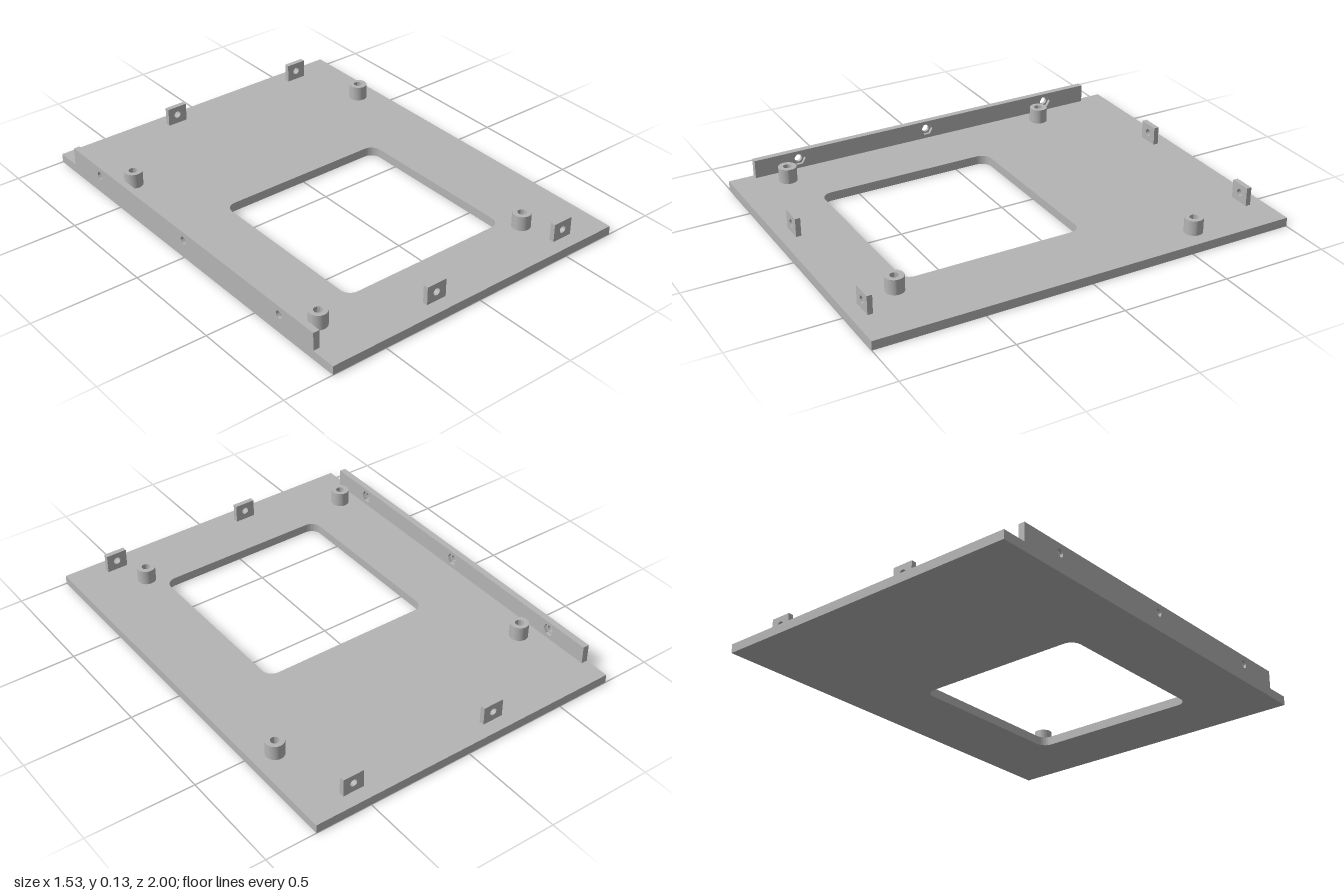
import * as THREE from 'three';
import { toCreasedNormals } from 'three/addons/utils/BufferGeometryUtils.js';

const PLATE = 0.042; // plate thickness
const TOP = 0.128; // top of tabs and rail
const HOLE_Y = 0.086; // height of the screw holes

function rect(x0, x1, y0, y1) {
  return new THREE.Shape([[x0, y0], [x1, y0], [x1, y1], [x0, y1]].map(p => new THREE.Vector2(...p)));
}

function circle(x, y, r) {
  return new THREE.Path().absarc(x, y, r, 0, Math.PI * 2, true);
}

function hexagon(x, y, r) {
  const pts = [];
  for (let i = 0; i < 6; i++) {
    const a = -i * Math.PI / 3;
    pts.push(new THREE.Vector2(x + r * Math.cos(a), y + r * Math.sin(a)));
  }
  return new THREE.Path(pts);
}

function roundedHole(x0, x1, y0, y1, r) {
  const p = new THREE.Path();
  p.absarc(x1 - r, y1 - r, r, 0, Math.PI / 2, false);
  p.absarc(x0 + r, y1 - r, r, Math.PI / 2, Math.PI, false);
  p.absarc(x0 + r, y0 + r, r, Math.PI, Math.PI * 1.5, false);
  p.absarc(x1 - r, y0 + r, r, Math.PI * 1.5, Math.PI * 2, false);
  p.closePath();
  return p;
}

// Extrude a shape with holes, smooth on curves and sharp at edges
function extrude(shape, holes, depth) {
  shape.holes.push(...holes);
  const g = new THREE.ExtrudeGeometry(shape, { depth, bevelEnabled: false, curveSegments: 16 });
  return toCreasedNormals(g, 0.6);
}

export function createModel() {
  const model = new THREE.Group();
  model.name = 'mountingPlate';
  const grey = new THREE.MeshStandardMaterial({ color: 0xb4b4b4 });
  grey.name = 'grey';

  function add(name, geometry, x, y, z) {
    const mesh = new THREE.Mesh(geometry, grey);
    mesh.name = name;
    mesh.position.set(x, y, z);
    model.add(mesh);
  }

  // Base plate with a rounded window
  const plate = extrude(rect(-0.765, 0.765, -1, 1), [roundedHole(-0.435, 0.412, -0.688, 0.16, 0.05)], PLATE);
  add('basePlate', plate.rotateX(-Math.PI / 2), 0, 0, 0);

  // Hollow standoffs
  const ring = new THREE.Shape().absarc(0, 0, 0.042, 0, Math.PI * 2, false);
  const standoff = extrude(ring, [circle(0, 0, 0.02)], 0.07).rotateX(-Math.PI / 2);
  for (const [x, z] of [[-0.645, -0.572], [0.662, -0.572], [-0.645, 0.758], [0.47, 0.758]]) {
    add('standoff', standoff, x, PLATE, z);
  }

  // Upright screw tabs along front and back
  const tab = extrude(rect(-0.05, 0.05, PLATE, TOP), [circle(0, HOLE_Y, 0.017)], 0.024);
  tab.translate(0, 0, -0.012);
  for (const x of [-0.18, 0.538]) {
    for (const z of [-0.922, 0.922]) add('screwTab', tab, x, 0, z);
  }

  // Side rail: round holes outside, hexagonal nut pockets inside
  const holeZ = [-0.662, 0, 0.662];
  const layer = holes => extrude(rect(-0.88, 0.88, PLATE, TOP), holes, 0.015).rotateY(-Math.PI / 2);
  add('railInner', layer(holeZ.map(z => hexagon(z, HOLE_Y, 0.03))), -0.735, 0, 0);
  add('railOuter', layer(holeZ.map(z => circle(z, HOLE_Y, 0.018))), -0.75, 0, 0);

  return model;
}
